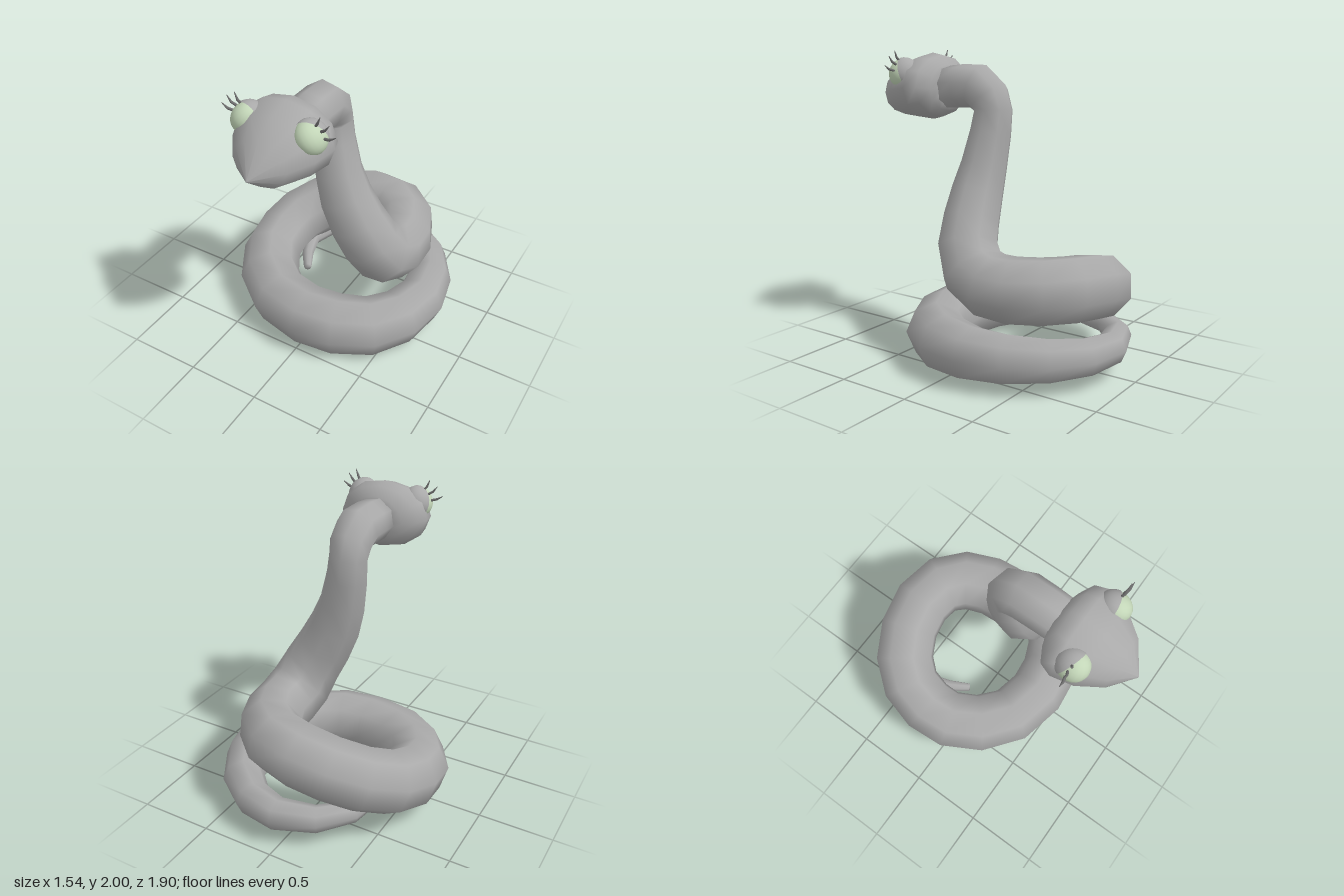
import * as THREE from 'three';

const skin = new THREE.MeshStandardMaterial({ color: 0xa9a9a9 });
skin.name = 'grey skin';
const green = new THREE.MeshStandardMaterial({ color: 0xc3d6b8 });
green.name = 'pale green eye';
const dark = new THREE.MeshStandardMaterial({ color: 0x707070 });
dark.name = 'dark lash';

const MID = 0.03; // x of the head's plane of symmetry

// Smooth skin over equal-length rings, closed at both ends with a centre point
function loft(rings) {
  const n = rings[0].length;
  const pos = rings.flat().flatMap((p) => [p.x, p.y, p.z]);
  const index = [];
  for (let i = 0; i < rings.length - 1; i++) {
    for (let j = 0; j < n; j++) {
      const a = i * n + j, b = i * n + ((j + 1) % n);
      index.push(a, b, a + n, b, b + n, a + n);
    }
  }
  const ends = [[rings[0], 0], [rings[rings.length - 1], (rings.length - 1) * n]];
  ends.forEach(([ring, start], e) => {
    const c = ring.reduce((s, p) => s.add(p), new THREE.Vector3()).divideScalar(n);
    const k = pos.length / 3;
    pos.push(c.x, c.y, c.z);
    for (let j = 0; j < n; j++) {
      const a = start + j, b = start + ((j + 1) % n);
      if (e === 0) index.push(k, b, a);
      else index.push(k, a, b);
    }
  });
  const g = new THREE.BufferGeometry();
  g.setAttribute('position', new THREE.Float32BufferAttribute(pos, 3));
  g.setIndex(index);
  g.computeVertexNormals();
  return g;
}

// Round section carried along stations of [x, y, z, radius] without twisting
function sweep(stations, sides, up) {
  const pts = stations.map((s) => new THREE.Vector3(s[0], s[1], s[2]));
  const n = up.clone();
  return loft(pts.map((p, i) => {
    const t = pts[Math.min(i + 1, pts.length - 1)].clone().sub(pts[Math.max(i - 1, 0)]).normalize();
    n.addScaledVector(t, -n.dot(t)).normalize();
    const b = t.clone().cross(n);
    return Array.from({ length: sides }, (_, j) => {
      const a = (j / sides) * Math.PI * 2, r = stations[i][3];
      return p.clone().addScaledVector(n, r * Math.cos(a)).addScaledVector(b, r * Math.sin(a));
    });
  }));
}

function add(parent, name, geometry, material) {
  const m = new THREE.Mesh(geometry, material);
  m.name = name;
  parent.add(m);
  return m;
}

// Tail and the low coil, from the tip round to the left
const lowerCoil = [
  [-0.26, 0.2, -0.07, 0.028], [-0.34, 0.2, -0.2, 0.042], [-0.41, 0.2, -0.38, 0.058],
  [-0.36, 0.2, -0.6, 0.072], [-0.2, 0.2, -0.77, 0.088], [0.04, 0.2, -0.845, 0.105],
  [0.26, 0.2, -0.79, 0.12], [0.44, 0.2, -0.64, 0.138], [0.56, 0.2, -0.42, 0.157],
  [0.6, 0.2, -0.18, 0.172], [0.55, 0.2, 0.05, 0.187], [0.42, 0.2, 0.23, 0.198],
  [0.22, 0.205, 0.33, 0.205], [0, 0.205, 0.355, 0.205], [-0.25, 0.21, 0.3, 0.207],
];
// Rising upper coil
const upperCoil = [
  [-0.44, 0.23, 0.15, 0.21], [-0.55, 0.26, -0.04, 0.21], [-0.565, 0.3, -0.22, 0.21],
  [-0.52, 0.36, -0.4, 0.21], [-0.4, 0.43, -0.54, 0.21], [-0.22, 0.5, -0.63, 0.21],
  [-0.02, 0.55, -0.66, 0.212], [0.17, 0.57, -0.62, 0.212], [0.3, 0.57, -0.5, 0.212],
  [0.37, 0.565, -0.33, 0.212], [0.38, 0.575, -0.17, 0.212],
];
// Neck, with the elbow behind the head
const neck = [
  [0.36, 0.64, -0.03, 0.212], [0.31, 0.78, 0.05, 0.2], [0.23, 0.93, 0.08, 0.19],
  [0.15, 1.1, 0.09, 0.176], [0.09, 1.27, 0.08, 0.157], [0.045, 1.48, 0.06, 0.14],
  [0.03, 1.62, 0.05, 0.13], [0.03, 1.7, 0.08, 0.14], [0.03, 1.77, 0.17, 0.148],
  [0.03, 1.77, 0.3, 0.145], [0.03, 1.76, 0.45, 0.14],
];

// Head sections: [z, half width, top, bottom]
const headSections = [
  [0.4, 0.13, 1.87, 1.65], [0.42, 0.19, 1.91, 1.6], [0.47, 0.28, 1.97, 1.56],
  [0.55, 0.31, 1.985, 1.54], [0.69, 0.275, 1.94, 1.55], [0.83, 0.175, 1.86, 1.575],
  [0.95, 0.005, 1.685, 1.675],
];

function headGeometry() {
  const sides = 12;
  return loft(headSections.map(([z, w, top, bottom]) =>
    Array.from({ length: sides }, (_, j) => {
      const a = (j / sides) * Math.PI * 2;
      return new THREE.Vector3(
        MID + w * Math.cos(a),
        (top + bottom) / 2 + ((top - bottom) / 2) * Math.sin(a), z);
    })));
}

// Lashes: [base x, base y, tip x, tip y], x measured from the middle of the head
const lashes = [
  [0.23, 1.92, 0.275, 2.0], [0.26, 1.9, 0.33, 1.965], [0.275, 1.865, 0.37, 1.905],
];

function makeEye(side) {
  const eye = new THREE.Group();
  eye.name = side > 0 ? 'leftEye' : 'rightEye';

  // Eyeball, flattened towards the head, with a lid over its upper back
  const ball = new THREE.Group();
  ball.name = 'eyeWithLid';
  ball.position.set(MID + side * 0.208, 1.853, 0.63);
  ball.rotation.z = side * 0.6;
  ball.scale.x = 0.87;
  add(ball, 'eyeball', new THREE.SphereGeometry(0.102, 20, 14), green);
  const lid = new THREE.SphereGeometry(0.107, 20, 8, 0, Math.PI * 2, 0, 1.45);
  lid.rotateX(-1.15);
  add(ball, 'eyelid', lid, skin);
  eye.add(ball);

  // Lashes along the edge of the lid
  for (const [x0, y0, x1, y1] of lashes) {
    const path = [
      [MID + side * x0, y0, 0.63, 0.009],
      [MID + side * (x0 * 0.4 + x1 * 0.6), (y0 + y1) / 2 - 0.004, 0.645, 0.008],
      [MID + side * x1, y1, 0.645, 0.002],
    ];
    add(eye, 'eyelash', sweep(path, 6, new THREE.Vector3(0, 0, 1)), dark);
  }
  return eye;
}

export function createModel() {
  const snake = new THREE.Group();
  snake.name = 'snake';
  const path = [...lowerCoil, ...upperCoil, ...neck];
  add(snake, 'body', sweep(path, 8, new THREE.Vector3(0, 1, 0)), skin);
  add(snake, 'head', headGeometry(), skin);
  for (const side of [1, -1]) snake.add(makeEye(side));
  return snake;
}
